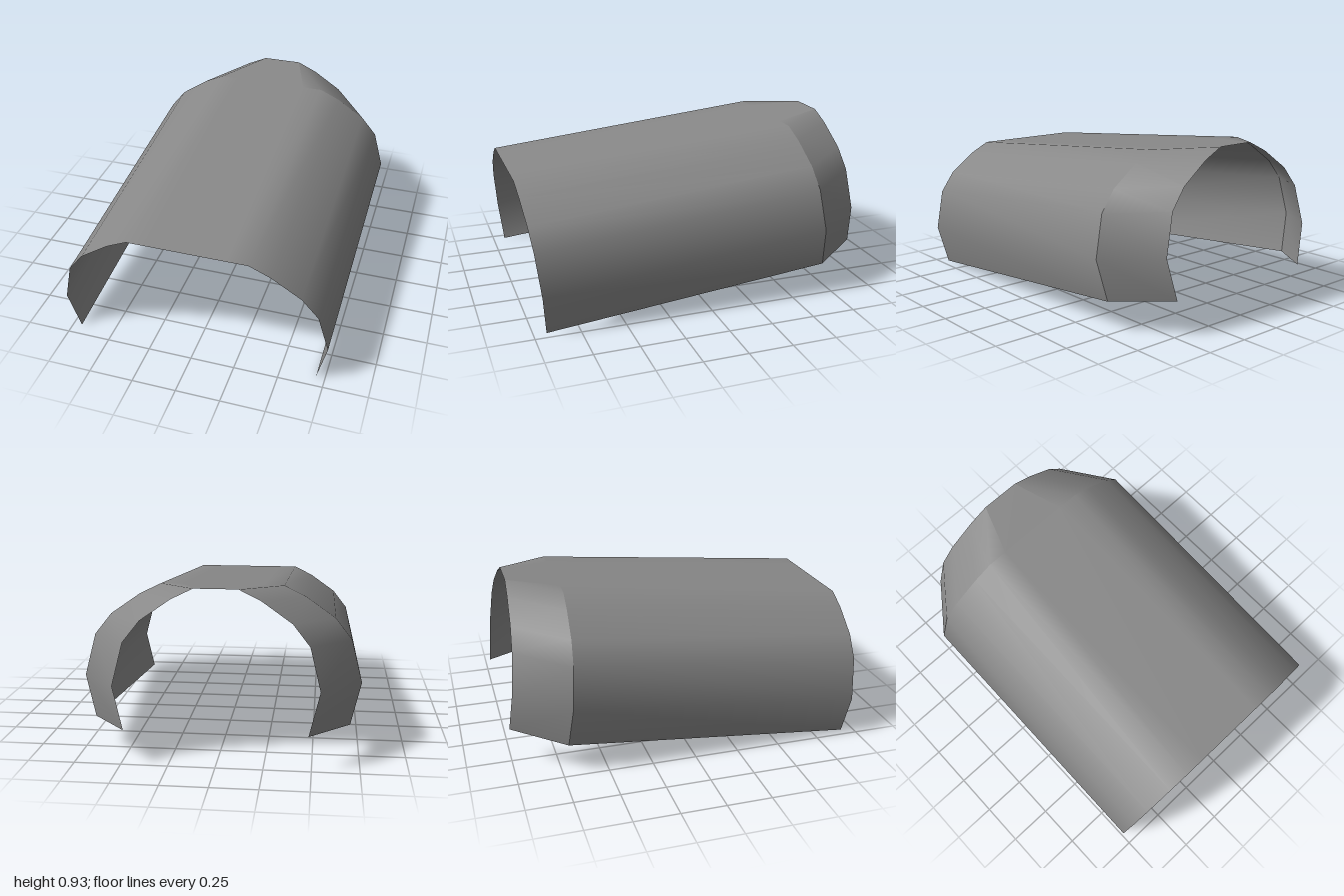
import * as THREE from 'three';

// Half of the arched cross-section, from the lower rim up to the flat roof
const HALF = [[0.70, 0], [0.757, 0.231], [0.70, 0.46], [0.61, 0.574], [0.45, 0.686], [0.333, 0.743], [0.215, 0.743]];

// Left half of a ring across the tilted axis: moved inward, up and along z
function halfRing(inset, lift, z) {
  return HALF.map(([x, y]) => new THREE.Vector3(x - inset, y + lift, z + 0.095 * y));
}

// Whole ring, continued over the roof to the right side
function fullRing(half) {
  return [...half, ...half.map(p => new THREE.Vector3(-p.x, p.y, p.z)).reverse()];
}

// Open smooth skin between two rings; a back ring one point shorter ends in a triangle
function skin(front, back, name, material) {
  const n = front.length;
  const index = [];
  for (let i = 0; i < n - 1; i++) {
    index.push(i, n + i, i + 1);
    if (i + 1 < back.length) index.push(i + 1, n + i, n + i + 1);
  }
  const geometry = new THREE.BufferGeometry().setFromPoints([...front, ...back]);
  geometry.setIndex(index);
  geometry.computeVertexNormals();
  const mesh = new THREE.Mesh(geometry, material);
  mesh.name = name;
  return mesh;
}

export function createModel() {
  const group = new THREE.Group();
  group.name = 'archedCover';
  const material = new THREE.MeshStandardMaterial({ color: 0x888888, side: THREE.DoubleSide });

  const front = halfRing(0, 0, 0.929);
  const shoulder = halfRing(0, 0.162, -0.71);
  const back = halfRing(0.218, 0.19, -1).slice(0, 6);

  // Long arched shell
  group.add(skin(fullRing(front), fullRing(shoulder), 'shell', material));

  // Narrowing collar at the rear: mirrored sides and a flat roof between them
  const leftCollar = skin(shoulder, back, 'leftCollar', material);
  const rightCollar = leftCollar.clone();
  rightCollar.name = 'rightCollar';
  rightCollar.scale.x = -1;
  const roof = skin(fullRing(shoulder.slice(-1)), fullRing(back.slice(-1)), 'collarRoof', material);
  group.add(leftCollar, rightCollar, roof);
  return group;
}
